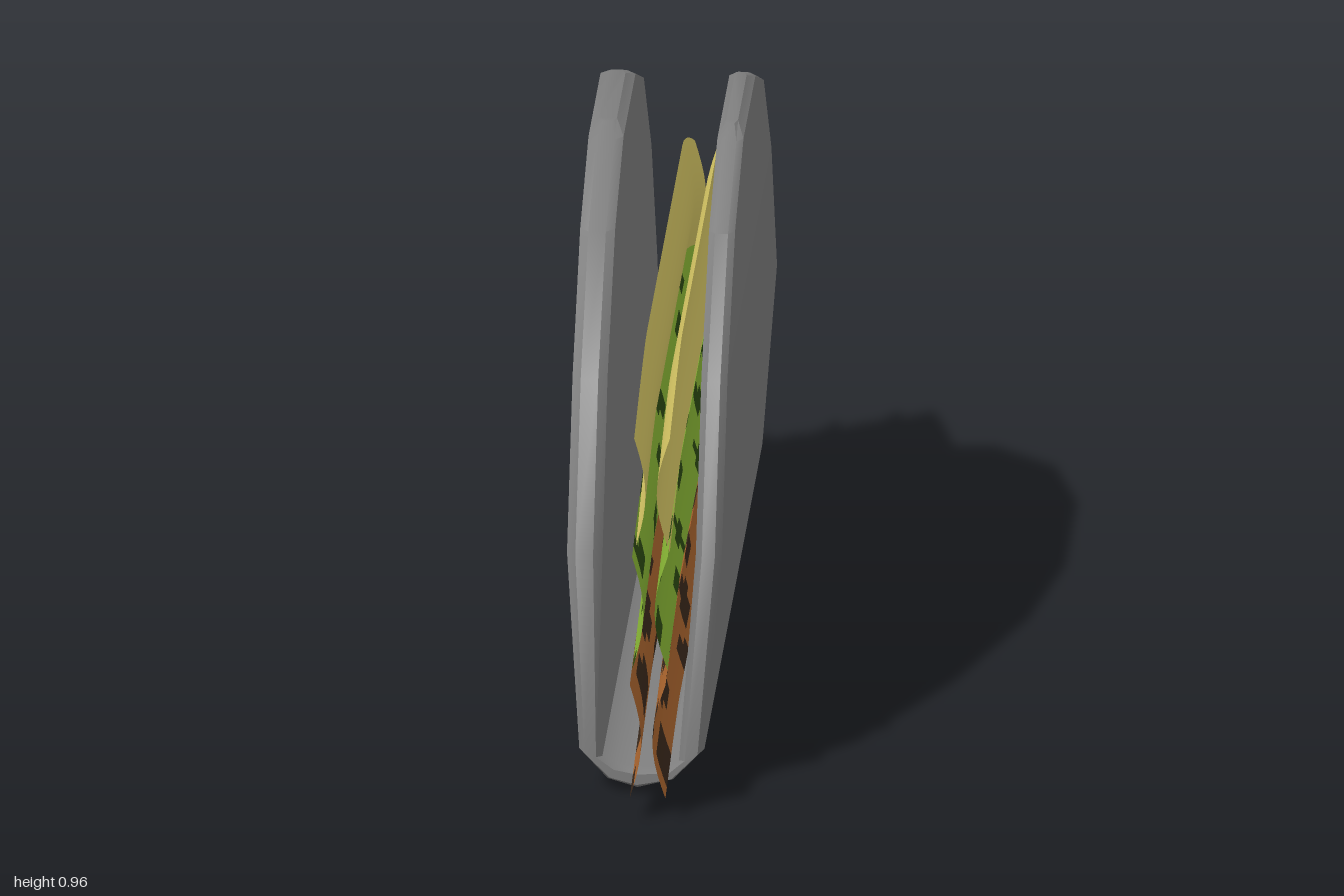
import * as THREE from 'three';
import { toCreasedNormals } from 'three/addons/utils/BufferGeometryUtils.js';

const material = (name, color, side = THREE.FrontSide) => {
  const m = new THREE.MeshStandardMaterial({ color, side });
  m.name = name;
  return m;
};

// Folded shell: rounded rings lofted along a U-shaped path.
function shellGeometry() {
  // outer x, outer y, inner x, inner y, half length along z
  const stations = [
    [-0.116, 0.962, -0.086, 0.962, 0.14],
    [-0.131, 0.945, -0.072, 0.945, 0.19],
    [-0.131, 0.86, -0.072, 0.86, 0.43],
    [-0.131, 0.67, -0.072, 0.67, 0.65],
    [-0.131, 0.41, -0.071, 0.41, 0.81],
    [-0.108, 0.077, -0.069, 0.064, 0.85],
    [-0.06, 0.025, -0.045, 0.052, 0.85],
    [-0.01, 0.01, -0.01, 0.047, 0.85],
    [0.05, 0.025, 0.042, 0.046, 0.85],
    [0.103, 0.08, 0.06, 0.058, 0.85],
    [0.13, 0.41, 0.086, 0.41, 0.81],
    [0.13, 0.67, 0.086, 0.67, 0.65],
    [0.13, 0.86, 0.086, 0.86, 0.43],
    [0.13, 0.945, 0.086, 0.945, 0.19],
    [0.118, 0.962, 0.098, 0.962, 0.14],
  ];
  const bevel = 0.018;
  // share of the way from outer to inner, z side, inset from the end
  const ring = [
    [0, 1, bevel], [0.25, 1, 0], [0.75, 1, 0], [1, 1, bevel],
    [1, -1, bevel], [0.75, -1, 0], [0.25, -1, 0], [0, -1, bevel],
  ];
  const n = ring.length, pos = [], idx = [];
  for (const [ox, oy, ix, iy, w] of stations)
    for (const [t, s, inset] of ring)
      pos.push(ox + (ix - ox) * t, oy + (iy - oy) * t, s * (w - inset));
  const last = (stations.length - 1) * n;
  for (let i = 0; i < last; i += n)
    for (let k = 0; k < n; k++) {
      const a = i + k, b = i + (k + 1) % n;
      idx.push(a, a + n, b, b, a + n, b + n);
    }
  for (let k = 1; k < n - 1; k++) {
    idx.push(0, k, k + 1);
    idx.push(last, last + k + 1, last + k);
  }
  const g = new THREE.BufferGeometry();
  g.setAttribute('position', new THREE.Float32BufferAttribute(pos, 3));
  g.setIndex(idx);
  return toCreasedNormals(g, 0.6);
}

// Curled filling strip, drooping at both ends; spotted cells use material 1.
function stripGeometry({ top, length, drop, spots }, edgeX, midX, phase) {
  const nz = 48, ny = 10, height = 0.2, pos = [], plain = [], spotted = [];
  for (let i = 0; i <= nz; i++) {
    const u = (i / nz) * 2 - 1;
    const bend = Math.pow(Math.max(0, (Math.abs(u) - 0.6) / 0.4), 1.2);
    const y = top - bend * (u > 0 ? drop[0] : drop[1]);
    for (let j = 0; j <= ny; j++) {
      const t = j / ny;
      pos.push(edgeX + (midX - edgeX) * Math.sin(Math.PI * t), y - height * t, u * length);
    }
  }
  for (let i = 0; i < nz; i++)
    for (let j = 0; j < ny; j++) {
      const a = i * (ny + 1) + j, b = a + ny + 1;
      const noise = Math.sin(i * 1.1 + j * 0.5 + phase) + Math.sin(i * 0.43 - j * 0.95 + phase * 2);
      (noise > spots ? spotted : plain).push(a, a + 1, b, b, a + 1, b + 1);
    }
  const g = new THREE.BufferGeometry();
  g.setAttribute('position', new THREE.Float32BufferAttribute(pos, 3));
  g.setIndex([...plain, ...spotted]);
  g.addGroup(0, plain.length, 0);
  g.addGroup(plain.length, spotted.length, 1);
  g.computeVertexNormals();
  return g;
}

export function createModel() {
  const model = new THREE.Group();
  model.name = 'taco';

  const shell = new THREE.Mesh(shellGeometry(), material('shell grey', 0x7f7f7f));
  shell.name = 'shell';
  model.add(shell);

  const D = THREE.DoubleSide;
  const cheese = material('cheese yellow', 0xdaca66, D);
  const lettuce = material('lettuce green', 0x8bb936, D);
  const lettuceDark = material('dark lettuce green', 0x2c4a12, D);
  const meat = material('meat brown', 0xae672f, D);
  const meatDark = material('dark meat brown', 0x3b291c, D);

  const fillings = [
    { name: 'cheese', top: 0.71, length: 0.875, drop: [0.07, 0.11], spots: 9, mats: [cheese, cheese] },
    { name: 'lettuce', top: 0.505, length: 0.935, drop: [0.055, 0.09], spots: 1.15, mats: [lettuce, lettuceDark] },
    { name: 'meat', top: 0.295, length: 1, drop: [0.05, 0.09], spots: 0.5, mats: [meat, meatDark] },
  ];
  // two sheets of fillings, curled away from each other
  const sheets = [
    { name: 'right', edge: -0.013, mid: 0.006 },
    { name: 'left', edge: 0.047, mid: 0.025 },
  ];
  sheets.forEach((sheet, s) => {
    const group = new THREE.Group();
    group.name = sheet.name + 'FillingSheet';
    fillings.forEach((f, k) => {
      const strip = new THREE.Mesh(stripGeometry(f, sheet.edge, sheet.mid, s * 2.3 + k), f.mats);
      strip.name = f.name;
      group.add(strip);
    });
    model.add(group);
  });
  return model;
}
